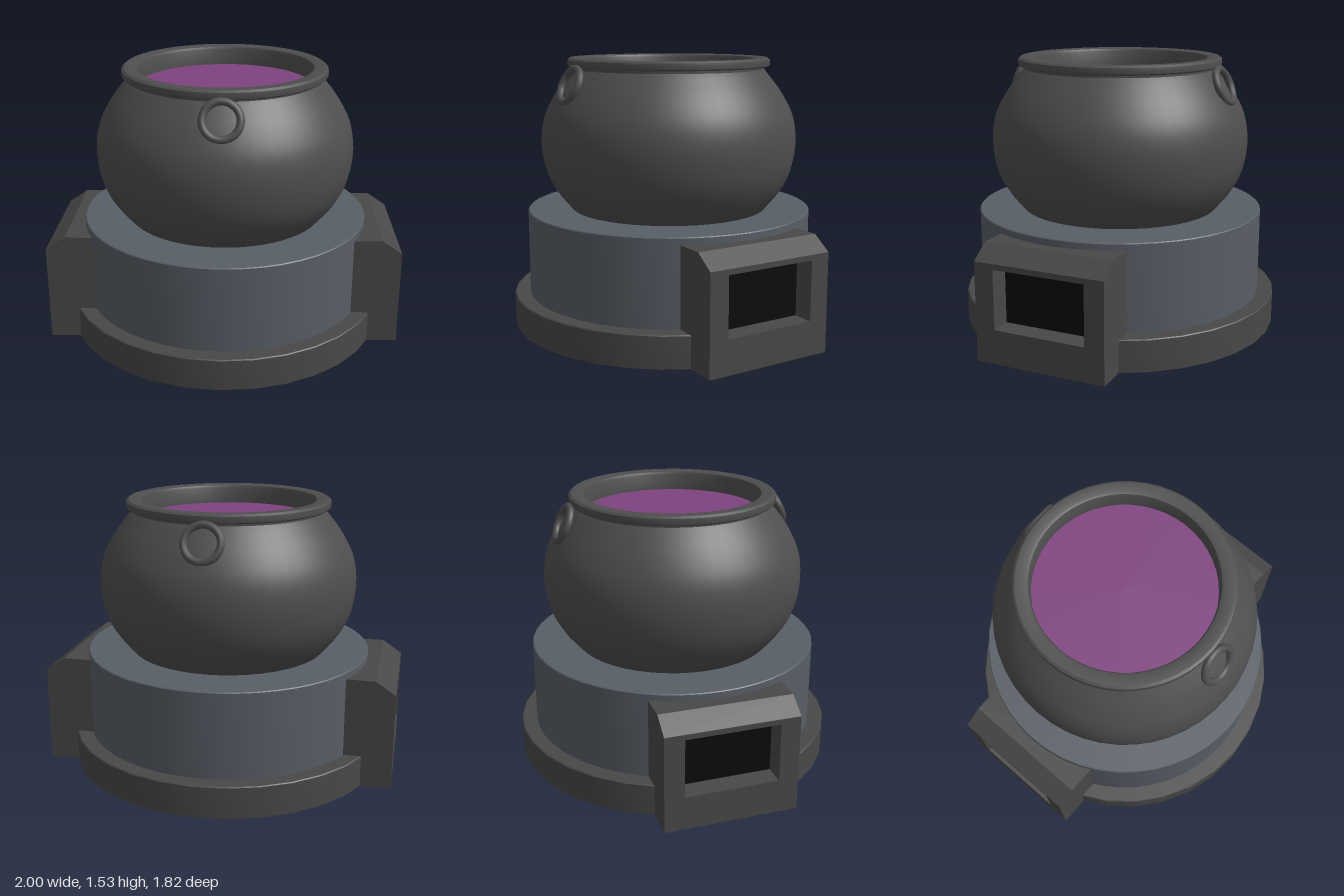
import * as THREE from 'three';
import { toCreasedNormals } from 'three/addons/utils/BufferGeometryUtils.js';

const material = (color) => new THREE.MeshStandardMaterial({ color, side: THREE.DoubleSide });
const iron = material(0x4e4e4e);
const stone = material(0x484848);
const slate = material(0x585e66);
const soot = material(0x0b0b0b);
const potion = material(0x7f427f);

function addMesh(parent, name, geometry, mat) {
  const mesh = new THREE.Mesh(geometry, mat);
  mesh.name = name;
  parent.add(mesh);
  return mesh;
}

// Turned part from [radius, height] pairs, sharp only at hard corners
function turned(profile, sides) {
  const points = profile.map(([r, y]) => new THREE.Vector2(r, y));
  return toCreasedNormals(new THREE.LatheGeometry(points, sides), 0.6);
}

// Flat strip swept along z through a list of [x, y] points
function strip(path, halfWidth) {
  const positions = [];
  for (let i = 0; i < path.length - 1; i++) {
    const [ax, ay] = path[i], [bx, by] = path[i + 1], w = halfWidth;
    positions.push(ax, ay, w, bx, by, w, bx, by, -w, ax, ay, w, bx, by, -w, ax, ay, -w);
  }
  const geometry = new THREE.BufferGeometry();
  geometry.setAttribute('position', new THREE.Float32BufferAttribute(positions, 3));
  geometry.computeVertexNormals();
  return geometry;
}

const polygon = (pts) => pts.map(([x, y]) => new THREE.Vector2(x, y));

// Fire door housing: a shell open below and towards the furnace
function createFireDoor() {
  const door = new THREE.Group();
  const inner = 0.53, outer = 1, back = 0.88, half = 0.37;
  const hole = { w: 0.26, y0: 0.19, y1: 0.52 };
  const top = [[inner, 0.625], [0.89, 0.625], [outer, 0.55]];

  const side = new THREE.Shape(polygon([[inner, 0], [outer, 0], ...[...top].reverse()]));
  for (const s of [1, -1]) {
    addMesh(door, 'doorSideWall', new THREE.ShapeGeometry(side), stone).position.z = s * half;
  }
  addMesh(door, 'doorRoof', strip([...top].reverse(), half), stone);

  // Front plate with the square opening
  const plate = new THREE.Shape(polygon([[-half, 0], [half, 0], [half, 0.55], [-half, 0.55]]));
  plate.holes.push(new THREE.Path(polygon([
    [-hole.w, hole.y0], [-hole.w, hole.y1], [hole.w, hole.y1], [hole.w, hole.y0],
  ])));
  const front = addMesh(door, 'doorFrontPlate', new THREE.ShapeGeometry(plate), stone);
  front.rotation.y = Math.PI / 2;
  front.position.x = outer;

  // Recess lining and dark back
  const depth = outer - back, height = hole.y1 - hole.y0, midX = (outer + back) / 2;
  for (const y of [hole.y0, hole.y1]) {
    const lining = addMesh(door, 'recessSillOrLintel', new THREE.PlaneGeometry(depth, 2 * hole.w), stone);
    lining.rotation.x = y === hole.y0 ? -Math.PI / 2 : Math.PI / 2;
    lining.position.set(midX, y, 0);
  }
  for (const s of [1, -1]) {
    const jamb = addMesh(door, 'recessJamb', new THREE.PlaneGeometry(depth, height), stone);
    jamb.rotation.y = s > 0 ? Math.PI : 0;
    jamb.position.set(midX, (hole.y0 + hole.y1) / 2, s * hole.w);
  }
  const dark = addMesh(door, 'fireOpening', new THREE.PlaneGeometry(2 * hole.w, height), soot);
  dark.rotation.y = Math.PI / 2;
  dark.position.set(back, (hole.y0 + hole.y1) / 2, 0);
  return door;
}

export function createModel() {
  const model = new THREE.Group();
  model.name = 'cauldronOnFurnace';

  // Furnace: hollow base ring and drum
  addMesh(model, 'baseRing', turned([[0.91, 0], [0.91, 0.175], [0.905, 0.18], [0.81, 0.18]], 32), stone);
  addMesh(model, 'furnaceDrum', turned([[0.82, 0.18], [0.82, 0.66], [0.815, 0.665], [0.55, 0.665]], 48), slate);

  // Fire doors on both sides
  for (const s of [1, -1]) {
    const door = createFireDoor();
    door.name = s > 0 ? 'leftFireDoor' : 'rightFireDoor';
    door.rotation.y = s > 0 ? 0 : Math.PI;
    model.add(door);
  }

  // Round pot body
  const belly = new THREE.SplineCurve(polygon([
    [0.56, 0.66], [0.65, 0.77], [0.71, 0.89], [0.735, 1.05],
    [0.715, 1.2], [0.65, 1.33], [0.575, 1.43], [0.545, 1.465],
  ])).getPoints(24).map((p) => [p.x, p.y]);
  addMesh(model, 'potBody', turned([...belly, [0.545, 1.485]], 48), iron);

  // Rim rolled over into the mouth
  addMesh(model, 'potRim', turned([
    [0.545, 1.48], [0.57, 1.48], [0.578, 1.487], [0.58, 1.505], [0.578, 1.52],
    [0.565, 1.53], [0.51, 1.53], [0.497, 1.525], [0.49, 1.51], [0.49, 1.41],
  ], 48), iron);

  // Liquid surface
  const liquid = addMesh(model, 'liquid', new THREE.CircleGeometry(0.492, 48), potion);
  liquid.rotation.x = -Math.PI / 2;
  liquid.position.y = 1.42;

  // Ring handles leaning on the pot, front and back
  for (const s of [1, -1]) {
    const ring = addMesh(model, s > 0 ? 'frontRing' : 'backRing', new THREE.TorusGeometry(0.098, 0.021, 10, 32), iron);
    ring.position.set(0, 1.39, s * 0.625);
    ring.rotation.x = -s * 0.4;
  }
  return model;
}
